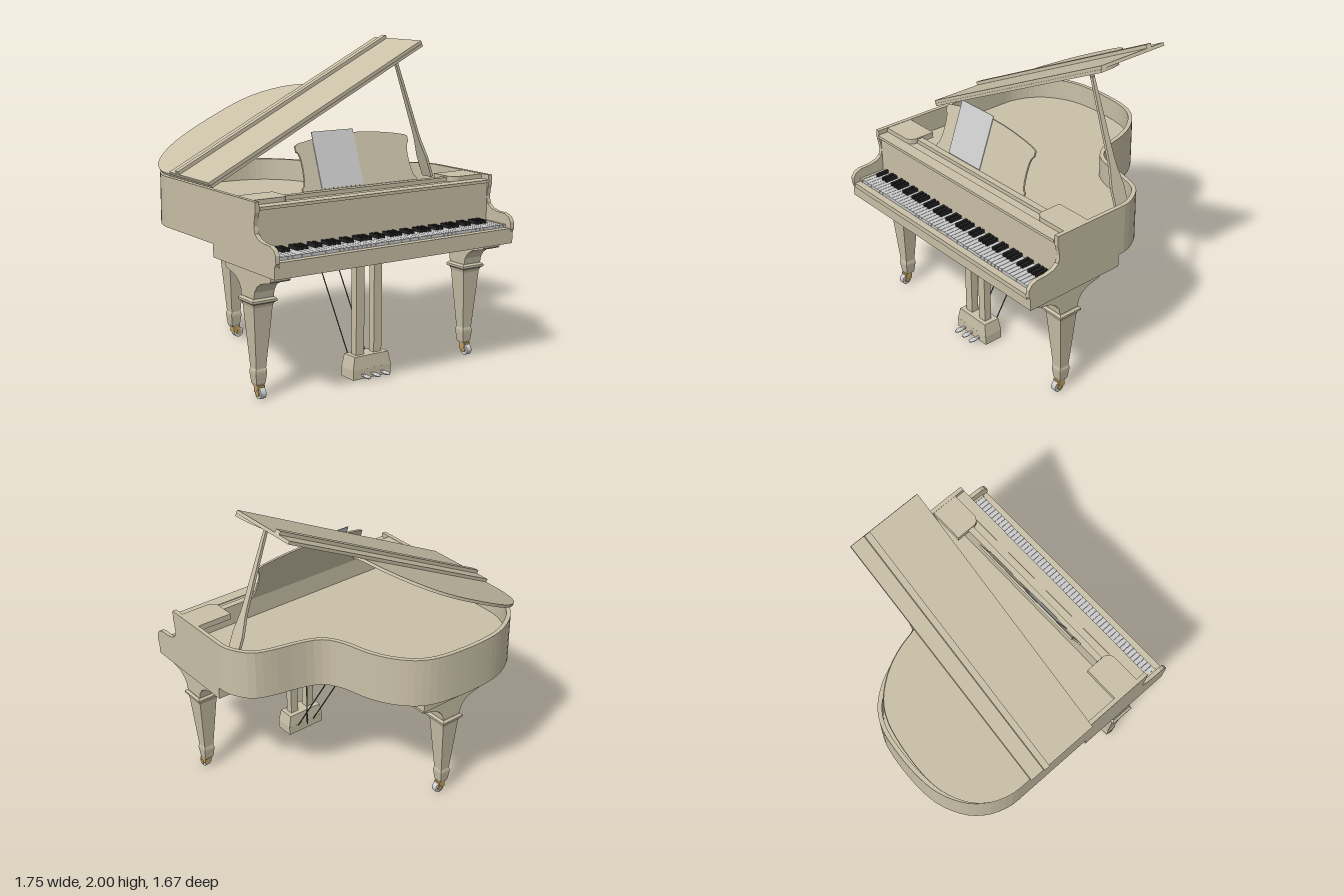
import * as THREE from 'three';
import { mergeGeometries } from 'three/addons/utils/BufferGeometryUtils.js';

const paint = (color) => new THREE.MeshStandardMaterial({ color, flatShading: true, side: THREE.DoubleSide });
const wood = paint(0xc9c0a7), grey = paint(0xcccccc), black = paint(0x222222);
const brass = paint(0xc0a060), paper = paint(0xf0f0ee), steel = paint(0x555555);
const V = (x, y) => new THREE.Vector2(x, y);

function add(parent, name, geometry, material = wood) {
  const mesh = new THREE.Mesh(geometry, material);
  mesh.name = name;
  parent.add(mesh);
  return mesh;
}

// Box given by its extents on each axis
function box(x0, x1, y0, y1, z0, z1) {
  return new THREE.BoxGeometry(x1 - x0, y1 - y0, z1 - z0)
    .translate((x0 + x1) / 2, (y0 + y1) / 2, (z0 + z1) / 2);
}

const extrude = (points, depth) =>
  new THREE.ExtrudeGeometry(new THREE.Shape(points), { depth, bevelEnabled: false });

// Horizontal slab from (x, -z) points
const slab = (points, y0, y1) => extrude(points, y1 - y0).rotateX(-Math.PI / 2).translate(0, y0, 0);

// Upright panel from [z, y] points, extruded along x
const sidePanel = (points, x0, x1) =>
  extrude(points.map(([z, y]) => V(-z, y)), x1 - x0).rotateY(Math.PI / 2).translate(x0, 0, 0);

// Mirror a right-hand half profile into a closed outline
const mirrored = (half) => [...half, ...half.slice().reverse().map(([a, b]) => [-a, b])];

function rod(parent, name, a, b, r) {
  const from = new THREE.Vector3(...a), to = new THREE.Vector3(...b);
  add(parent, name, new THREE.TubeGeometry(new THREE.LineCurve3(from, to), 1, r, 6), steel);
}

// Case outline as (x, -z), from the front of the bent side round the tail to the straight side
function caseOutline() {
  const bend = [[0.87, -0.1], [0.86, -0.05], [0.82, 0.03], [0.76, 0.095], [0.65, 0.135], [0.51, 0.165],
    [0.4, 0.2], [0.33, 0.255], [0.28, 0.36], [0.25, 0.48], [0.2, 0.6], [0.12, 0.71], [0.03, 0.78],
    [-0.1, 0.822], [-0.33, 0.84], [-0.53, 0.82], [-0.69, 0.745], [-0.79, 0.64], [-0.84, 0.52], [-0.85, 0.44]];
  const curve = new THREE.SplineCurve(bend.map(([x, y]) => V(x, y)));
  return [V(0.87, -0.14), ...curve.getSpacedPoints(52), V(-0.85, -0.14)];
}

// Move an open path to its left by d
function inset(path, d) {
  return path.map((p, i) => {
    const t = path[Math.min(i + 1, path.length - 1)].clone().sub(path[Math.max(i - 1, 0)]).normalize();
    return V(p.x - t.y * d, p.y + t.x * d);
  });
}

function buildCase(g) {
  const outer = caseOutline(), inner = inset(outer, 0.027);
  add(g, 'rim', slab([...outer, ...inner.slice().reverse()], 0.85, 1.17));
  add(g, 'soundboard', slab([V(0.843, -0.56), ...inner, V(-0.823, -0.56)], 0.86, 1.03));

  // Scrolled arms at each end of the keyboard
  const arm = [[0.14, 0.77], [0.82, 0.77], [0.82, 0.84], [0.832, 0.86], [0.83, 0.905], [0.81, 0.935], [0.775, 0.95],
    [0.7, 0.953], [0.65, 0.965], [0.615, 0.99], [0.605, 1.03], [0.612, 1.08], [0.62, 1.11], [0.62, 1.17], [0.14, 1.17]];
  add(g, 'rightArm', sidePanel(arm, -0.85, -0.823));
  add(g, 'leftArm', sidePanel(arm, 0.843, 0.87));

  add(g, 'keybed', box(-0.85, 0.87, 0.77, 0.845, 0.14, 0.82));
  add(g, 'keySlip', box(-0.823, 0.843, 0.835, 0.865, 0.782, 0.825));
  add(g, 'rightKeyBlock', box(-0.823, -0.803, 0.84, 0.885, 0.6, 0.785));
  add(g, 'leftKeyBlock', box(0.828, 0.843, 0.84, 0.885, 0.6, 0.785));
  add(g, 'fallboard', box(-0.823, 0.843, 0.845, 1.13, 0.55, 0.605));
  add(g, 'fallboardLip', box(-0.823, 0.843, 1.122, 1.14, 0.55, 0.628));
  add(g, 'shelf', box(-0.823, 0.843, 1.03, 1.135, 0.455, 0.56));
  add(g, 'musicLedge', box(-0.58, 0.61, 1.135, 1.16, 0.455, 0.497));

  // Corner panels with one rounded corner
  for (const [name, edge, s, width] of [['rightCornerPanel', -0.823, 1, 0.24], ['leftCornerPanel', 0.843, -1, 0.235]]) {
    const shape = [V(0, -0.37), V(width, -0.37), V(width, -0.51), V(width - 0.012, -0.535), V(width - 0.04, -0.552), V(0, -0.552)];
    add(g, name, slab(shape.map((p) => V(edge + s * p.x, p.y)), 1.13, 1.168));
  }
}

function buildKeys(g) {
  const white = [], sharps = [], x0 = -0.803, w = 1.631 / 52;
  for (let i = 0; i < 52; i++) {
    const x = x0 + i * w;
    white.push(box(x + 0.001, x + w - 0.001, 0.845, 0.883, 0.6, 0.78));
    const note = (i + 5) % 7;
    if (i < 51 && note !== 2 && note !== 6) sharps.push(box(x + w - 0.009, x + w + 0.009, 0.875, 0.904, 0.6, 0.688));
  }
  add(g, 'whiteKeys', mergeGeometries(white), grey);
  add(g, 'blackKeys', mergeGeometries(sharps), black);
}

function buildLid(g) {
  const lid = new THREE.Group();
  lid.name = 'lid';
  lid.position.set(-0.85, 1.18, 0);
  lid.rotation.z = THREE.MathUtils.degToRad(26.5);
  g.add(lid);
  add(lid, 'lidMain', slab(caseOutline().map((p) => V(p.x + 0.85, p.y)), 0, 0.018));
  add(lid, 'lidFoldedFlap', box(-0.005, 1.725, 0.018, 0.038, -0.36, 0.135));
  add(lid, 'lidHingeStrip', box(-0.005, 1.725, 0.038, 0.06, -0.265, -0.225));

  // Prop stick, flared at its foot
  const half = [[0.048, -0.08], [0.048, 0.06], [0.027, 0.18], [0.022, 0.24], [0.01, 0.72], [0.006, 0.732]];
  const prop = add(g, 'lidProp', sidePanel(mirrored(half), -0.009, 0.009));
  prop.position.set(0.78, 1.17, 0.06);
  prop.rotation.z = 0.347;
  const tip = add(g, 'propTip', new THREE.SphereGeometry(0.015, 8, 6));
  tip.position.set(0.533, 1.855, 0.06);
}

function buildMusicDesk(g) {
  const desk = new THREE.Group();
  desk.name = 'musicDesk';
  desk.position.set(-0.015, 1.16, 0.455);
  desk.rotation.x = -0.35;
  g.add(desk);
  const half = [[0.415, 0], [0.415, 0.018], [0.4, 0.03], [0.39, 0.07], [0.385, 0.13], [0.387, 0.19], [0.395, 0.225],
    [0.41, 0.24], [0.41, 0.275], [0.385, 0.287], [0.3, 0.303], [0.2, 0.316], [0.1, 0.325], [0, 0.328]];
  add(desk, 'deskPanel', extrude(mirrored(half).map(([x, y]) => V(x, y)), 0.012).translate(0, 0, -0.006));
  add(desk, 'sheetMusic', box(-0.285, 0.012, 0.005, 0.348, 0.008, 0.012), paper);
}

function buildLeg(g, name, x, z, turn) {
  const leg = new THREE.Group();
  leg.name = name;
  leg.position.set(x, 0, z);
  leg.rotation.y = turn;
  g.add(leg);

  // Spreading bracket under the case
  const half = [[0.246, 0.77], [0.246, 0.74], [0.235, 0.73], [0.19, 0.72], [0.14, 0.707], [0.1, 0.68],
    [0.076, 0.645], [0.066, 0.59]];
  add(leg, 'legBracket', sidePanel(mirrored(half), -0.066, 0.066));

  // Square tapered shaft with collar and foot
  const profile = [[0, 0.605], [0.07, 0.605], [0.082, 0.593], [0.082, 0.58], [0.068, 0.57], [0.062, 0.55],
    [0.033, 0.18], [0.037, 0.165], [0.037, 0.15], [0.03, 0.09], [0.024, 0.075], [0, 0.075]];
  const shaft = new THREE.LatheGeometry(profile.reverse().map(([r, y]) => V(r * Math.SQRT2, y)), 4);
  add(leg, 'legShaft', shaft.rotateY(Math.PI / 4));

  // Caster
  add(leg, 'casterFork', box(-0.024, 0.024, 0.035, 0.078, -0.012, 0.035), brass);
  add(leg, 'casterWheel', new THREE.CylinderGeometry(0.034, 0.034, 0.036, 20).rotateZ(Math.PI / 2).translate(0, 0.034, 0.026), grey);
  add(leg, 'casterAxle', new THREE.CylinderGeometry(0.017, 0.017, 0.052, 12).rotateZ(Math.PI / 2).translate(0, 0.034, 0.026), brass);
}

function buildPedals(g) {
  const lyre = new THREE.Group();
  lyre.name = 'pedalLyre';
  g.add(lyre);
  add(lyre, 'lyreTop', box(-0.245, 0.27, 0.7, 0.77, 0.44, 0.56));
  add(lyre, 'rightPost', box(-0.095, -0.036, 0.13, 0.71, 0.475, 0.525));
  add(lyre, 'leftPost', box(0.036, 0.093, 0.13, 0.71, 0.475, 0.525));

  // Pedal box, narrower at the top
  const base = box(-0.14, 0.14, 0, 0.06, 0.435, 0.56);
  const cap = new THREE.CylinderGeometry(Math.SQRT1_2, Math.SQRT1_2 * 1.13, 0.08, 4, 1)
    .rotateY(Math.PI / 4).scale(0.248, 1, 0.11).translate(0, 0.1, 0.4975);
  add(lyre, 'pedalBox', base);
  add(lyre, 'pedalBoxCap', cap);
  for (const x of [-0.07, 0, 0.07]) {
    add(lyre, 'pedalArm', box(x - 0.008, x + 0.008, 0.018, 0.03, 0.55, 0.61), grey);
    add(lyre, 'pedal', new THREE.SphereGeometry(1, 12, 8).scale(0.018, 0.011, 0.035).translate(x, 0.024, 0.605), grey);
  }

  // Lift rod and diagonal braces
  rod(lyre, 'liftRod', [0, 0.04, 0.42], [0, 0.77, 0.42], 0.004);
  for (const x of [-0.065, 0.065]) rod(lyre, 'braceRod', [x, 0.05, 0.435], [x, 0.865, -0.072], 0.004);
}

export function createModel() {
  const g = new THREE.Group();
  g.name = 'grandPiano';
  buildCase(g);
  buildKeys(g);
  buildLid(g);
  buildMusicDesk(g);
  buildLeg(g, 'frontRightLeg', -0.765, 0.497, 0);
  buildLeg(g, 'frontLeftLeg', 0.77, 0.497, 0);
  buildLeg(g, 'backLeg', -0.265, -0.648, Math.PI / 2);
  add(g, 'backLegBlock', box(-0.53, 0.0, 0.77, 0.865, -0.75, -0.55));
  buildPedals(g);
  return g;
}
